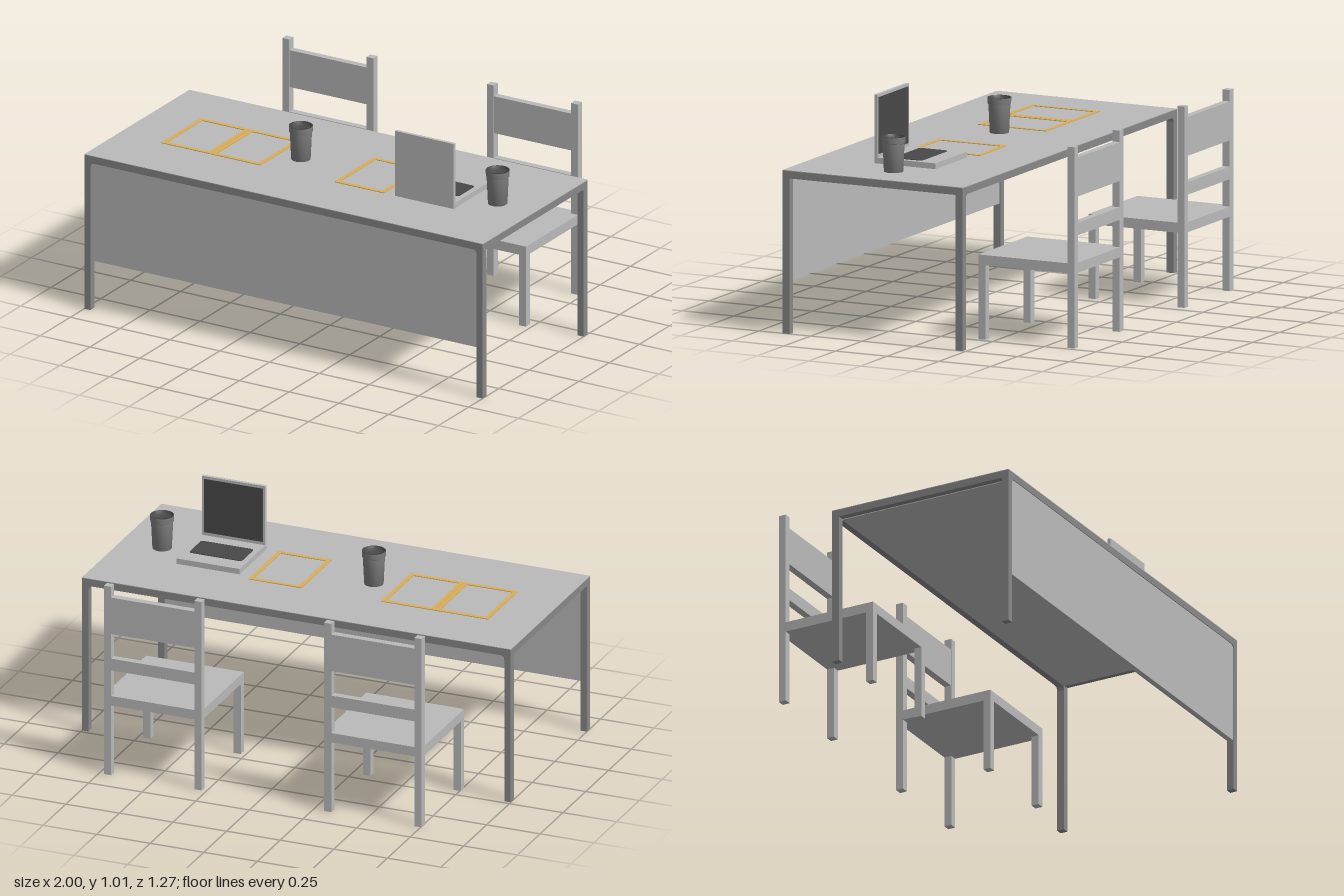
import * as THREE from 'three';

const mat = (name, color, side = THREE.FrontSide) => {
  const m = new THREE.MeshStandardMaterial({ color, side });
  m.name = name;
  return m;
};

export function createModel() {
  const light = mat('light grey', 0xbababa);
  const mid = mat('frame grey', 0x888888);
  const cupGrey = mat('cup grey', 0x808080);
  const dark = mat('dark grey', 0x484848, THREE.DoubleSide);
  const gold = mat('gold', 0xd9ae5a);

  const add = (parent, name, geo, material) => {
    const m = new THREE.Mesh(geo, material);
    m.name = name;
    parent.add(m);
    return m;
  };
  // box given by its minimum and maximum on each axis
  const box = (parent, name, material, [x0, x1], [y0, y1], [z0, z1]) => {
    const m = add(parent, name, new THREE.BoxGeometry(x1 - x0, y1 - y0, z1 - z0), material);
    m.position.set((x0 + x1) / 2, (y0 + y1) / 2, (z0 + z1) / 2);
    return m;
  };
  const group = (parent, name) => {
    const g = new THREE.Group();
    g.name = name;
    parent.add(g);
    return g;
  };

  const model = group(new THREE.Group(), 'classroomDesk');
  model.removeFromParent();
  const TOP = 0.715;

  // table: two leg arches, slab, light faces and front panel
  const table = group(model, 'table');
  const arch = new THREE.Shape();
  arch.moveTo(-1, 0);
  arch.lineTo(-0.97, 0);
  arch.lineTo(-0.97, 0.66);
  arch.quadraticCurveTo(-0.97, 0.68, -0.95, 0.68);
  arch.lineTo(0.95, 0.68);
  arch.quadraticCurveTo(0.97, 0.68, 0.97, 0.66);
  arch.lineTo(0.97, 0);
  arch.lineTo(1, 0);
  arch.lineTo(1, 0.712);
  arch.lineTo(-1, 0.712);
  const archGeo = new THREE.ExtrudeGeometry(arch, { depth: 0.034, bevelEnabled: false, curveSegments: 4 });
  add(table, 'frontLegs', archGeo, mid).position.z = 0.601;
  add(table, 'backLegs', archGeo, mid).position.z = -0.235;
  box(table, 'slab', mid, [-1, 1], [0.68, 0.712], [-0.201, 0.601]);
  box(table, 'tabletop', light, [-1, 1], [0.712, TOP], [-0.235, 0.635]);
  box(table, 'underside', light, [-0.97, 0.97], [0.676, 0.68], [-0.201, 0.601]);
  box(table, 'frontPanel', light, [-0.97, 0.97], [0.23, 0.68], [0.606, 0.632]);

  // chairs
  const chair = (cx) => {
    const g = group(model, 'chair');
    const w = 0.228;
    for (const s of [-1, 1]) {
      const xs = s < 0 ? [-w, -w + 0.034] : [w - 0.034, w];
      box(g, 'frontLeg', light, xs, [0, 0.326], [-0.205, -0.171]);
      box(g, 'backPost', light, xs, [0, 0.88], [-0.635, -0.601]);
    }
    box(g, 'seat', light, [-w, w], [0.326, 0.37], [-0.601, -0.171]);
    const inner = [-w + 0.034, w - 0.034];
    box(g, 'seatRail', light, inner, [0.326, 0.37], [-0.635, -0.601]);
    box(g, 'lowerSlat', light, inner, [0.49, 0.545], [-0.635, -0.603]);
    box(g, 'backRest', light, inner, [0.66, 0.83], [-0.635, -0.603]);
    g.position.x = cx;
  };
  chair(-0.527);
  chair(0.5);

  // laptop
  const laptop = group(model, 'laptop');
  box(laptop, 'laptopBase', light, [0.39, 0.685], [TOP, 0.74], [0.06, 0.355]);
  box(laptop, 'laptopLid', light, [0.39, 0.685], [0.74, 1.015], [0.34, 0.355]);
  box(laptop, 'screen', dark, [0.4, 0.675], [0.755, 1.003], [0.337, 0.34]);
  const keys = new THREE.Shape();
  const kw = 0.1225, kh = 0.068, r = 0.012;
  keys.moveTo(-kw + r, -kh);
  keys.absarc(kw - r, -kh + r, r, -Math.PI / 2, 0);
  keys.absarc(kw - r, kh - r, r, 0, Math.PI / 2);
  keys.absarc(-kw + r, kh - r, r, Math.PI / 2, Math.PI);
  keys.absarc(-kw + r, -kh + r, r, Math.PI, Math.PI * 1.5);
  const keyboard = add(laptop, 'keyboard',
    new THREE.ExtrudeGeometry(keys, { depth: 0.003, bevelEnabled: false, curveSegments: 4 }), dark);
  keyboard.rotation.x = -Math.PI / 2;
  keyboard.position.set(0.5375, 0.74, 0.207);

  // cups: tapered wall, rim band and recessed dark top
  const V = (x, y) => new THREE.Vector2(x, y);
  for (const x of [-0.178, 0.81]) {
    const cup = group(model, 'cup');
    add(cup, 'cupWall', new THREE.LatheGeometry(
      [V(0, 0), V(0.042, 0), V(0.048, 0.125)], 20), cupGrey);
    add(cup, 'cupRim', new THREE.LatheGeometry(
      [V(0.048, 0.125), V(0.051, 0.127), V(0.052, 0.154)], 20), cupGrey);
    add(cup, 'cupTop', new THREE.LatheGeometry(
      [V(0.052, 0.154), V(0.045, 0.154), V(0.043, 0.135), V(0, 0.135)], 20), dark);
    cup.position.set(x, TOP, 0.197);
  }

  // gold outlines on the tabletop
  for (const x of [-0.66, -0.409, 0.21]) {
    const hw = 0.1245, hd = 0.165, t = 0.019;
    const outline = new THREE.Shape([V(-hw, -hd), V(hw, -hd), V(hw, hd), V(-hw, hd)]);
    outline.holes.push(new THREE.Path(
      [V(-hw + t, -hd + t), V(-hw + t, hd - t), V(hw - t, hd - t), V(hw - t, -hd + t)]));
    const m = add(model, 'sheetOutline',
      new THREE.ExtrudeGeometry(outline, { depth: 0.003, bevelEnabled: false }), gold);
    m.rotation.x = -Math.PI / 2;
    m.position.set(x, TOP, 0.19);
  }
  return model;
}
